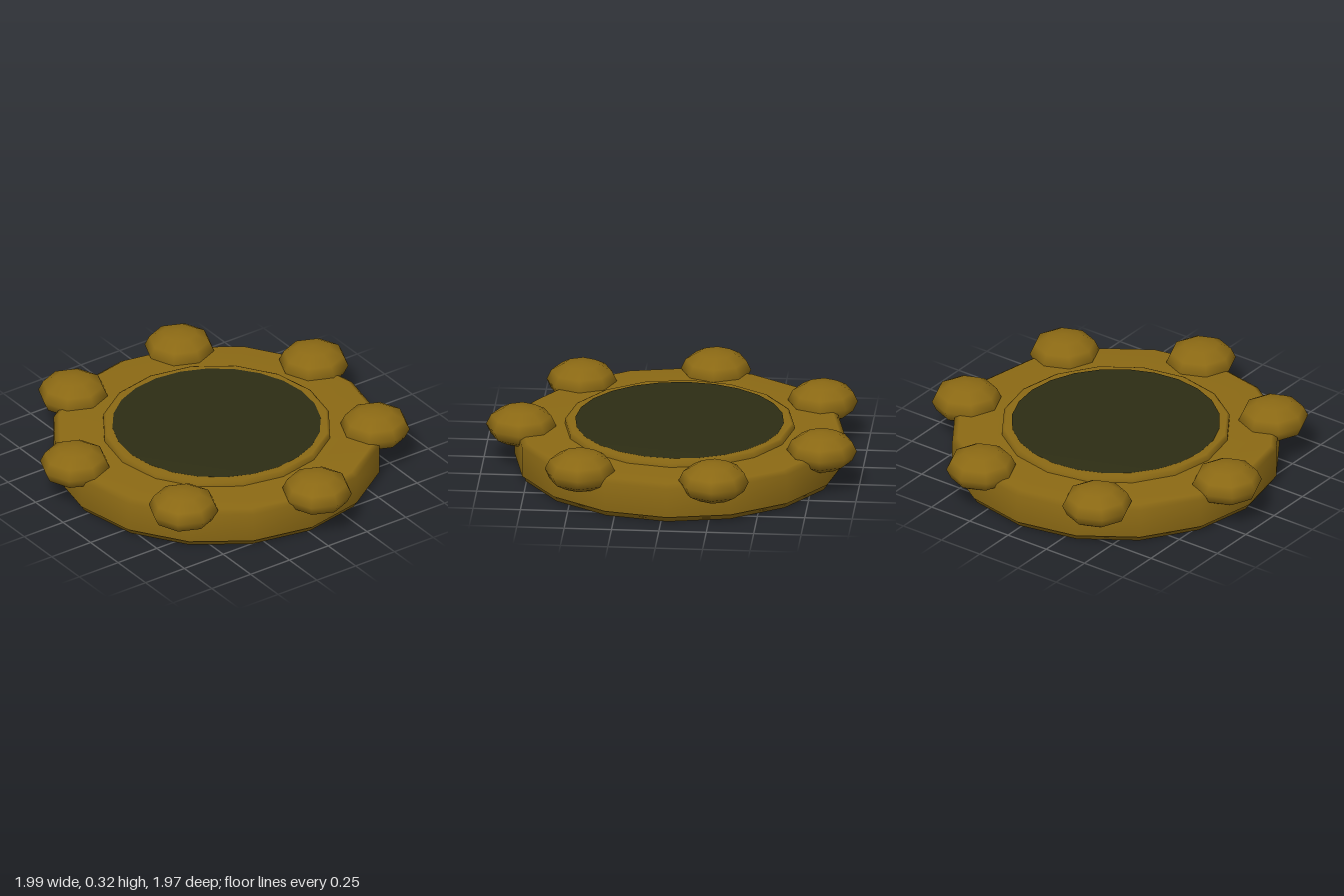
import * as THREE from 'three';

const brown = new THREE.MeshStandardMaterial({ color: 0x8b6914 });
brown.name = 'earthBrown';
const dark = new THREE.MeshStandardMaterial({ color: 0x2d2d14 });
dark.name = 'darkOlive';

// Smooth turned part from [radius, height] pairs, listed from bottom to top
function turned(name, profile, sides, material) {
  const points = profile.map(([r, y]) => new THREE.Vector2(r, y));
  const mesh = new THREE.Mesh(new THREE.LatheGeometry(points, sides), material);
  mesh.name = name;
  return mesh;
}

export function createModel() {
  const model = new THREE.Group();
  model.name = 'studdedDisc';

  // Wide body with a narrow foot and a softened upper edge
  model.add(turned('body', [
    [0, 0], [0.85, 0], [0.85, 0.03], [0.87, 0.03],
    [0.87, 0.19], [0.84, 0.21], [0.59, 0.21],
  ], 16, brown));

  // Raised ring around the centre
  model.add(turned('innerRim', [[0.605, 0.2], [0.605, 0.232], [0.59, 0.24], [0, 0.24]], 16, brown));

  // Dark centre
  model.add(turned('centrePlate', [[0.55, 0.236], [0.55, 0.244], [0, 0.244]], 24, dark));

  // Seven flattened knobs around the edge, all facing the same way
  const knobGeometry = new THREE.SphereGeometry(0.185, 8, 6);
  knobGeometry.scale(1, 0.57, 1);
  for (let i = 0; i < 7; i++) {
    const angle = 0.07 + (i / 7) * Math.PI * 2;
    const knob = new THREE.Mesh(knobGeometry, brown);
    knob.name = 'knob' + (i + 1);
    knob.position.set(Math.sin(angle) * 0.833, 0.215, Math.cos(angle) * 0.833);
    model.add(knob);
  }

  // Odd knob count shifts the disc slightly off the middle
  model.position.set(0.012, 0, -0.032);
  const root = new THREE.Group();
  root.name = 'model';
  root.add(model);
  return root;
}
